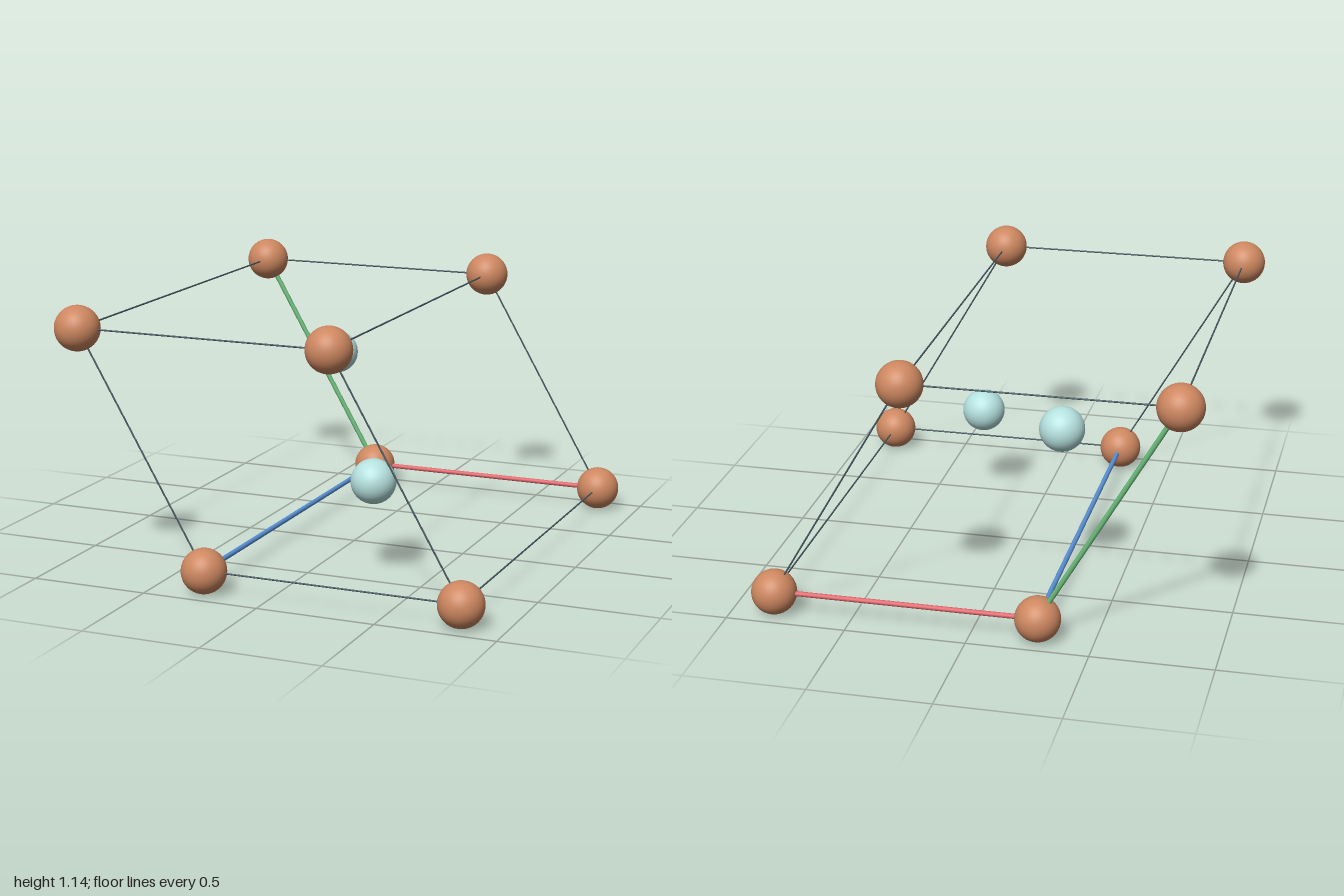
import * as THREE from 'three';

const material = (name, color) => {
  const m = new THREE.MeshStandardMaterial({ color });
  m.name = name;
  return m;
};

export function createModel() {
  const model = new THREE.Group();
  model.name = 'crystalCell';

  const copper = material('copper', 0xcd8760);
  const paleTeal = material('paleTeal', 0xb5e1df);
  const slate = material('slateEdge', 0x45585f);
  const axisMaterials = [
    material('red', 0xe0666c),
    material('green', 0x68b878),
    material('blue', 0x5a92d8),
  ];

  // Lattice: an origin corner and three cell vectors, 120 degrees apart in the base
  const side = 1.097, rise = side * Math.sqrt(3) / 2, depth = 1.813;
  const radius = 0.0935;
  const origin = new THREE.Vector3(-side / 4, 0.095, -depth / 2);
  const vectors = [
    new THREE.Vector3(side, 0, 0),
    new THREE.Vector3(-side / 2, rise, 0),
    new THREE.Vector3(0, 0, depth),
  ];
  const point = (u) => vectors.reduce(
    (p, v, i) => p.addScaledVector(v, u[i]), origin.clone());

  // Atoms
  const ball = new THREE.SphereGeometry(radius, 40, 28);
  const atom = (name, u, mat) => {
    const mesh = new THREE.Mesh(ball, mat);
    mesh.name = name;
    mesh.position.copy(point(u));
    model.add(mesh);
  };

  // Straight rod between two lattice points
  const up = new THREE.Vector3(0, 1, 0);
  const rod = (name, from, to, r, mat) => {
    const a = point(from), b = point(to);
    const mesh = new THREE.Mesh(
      new THREE.CylinderGeometry(r, r, a.distanceTo(b), 12), mat);
    mesh.name = name;
    mesh.position.copy(a).lerp(b, 0.5);
    mesh.quaternion.setFromUnitVectors(up, b.sub(a).normalize());
    model.add(mesh);
  };

  // Corner atoms, with an edge along each cell vector; those at the origin are the axes
  for (let n = 0; n < 8; n++) {
    const u = [n & 1, (n >> 1) & 1, (n >> 2) & 1];
    atom('cornerAtom', u, copper);
    for (let i = 0; i < 3; i++) {
      if (u[i]) continue;
      const end = u.slice();
      end[i] = 1;
      if (n === 0) rod('axisRod', u, end, 0.0105, axisMaterials[i]);
      else rod('cellEdge', u, end, 0.0035, slate);
    }
  }

  // Inner atoms
  atom('innerAtom', [1 / 3, 2 / 3, 1 / 4], paleTeal);
  atom('innerAtom', [2 / 3, 1 / 3, 3 / 4], paleTeal);

  return model;
}
